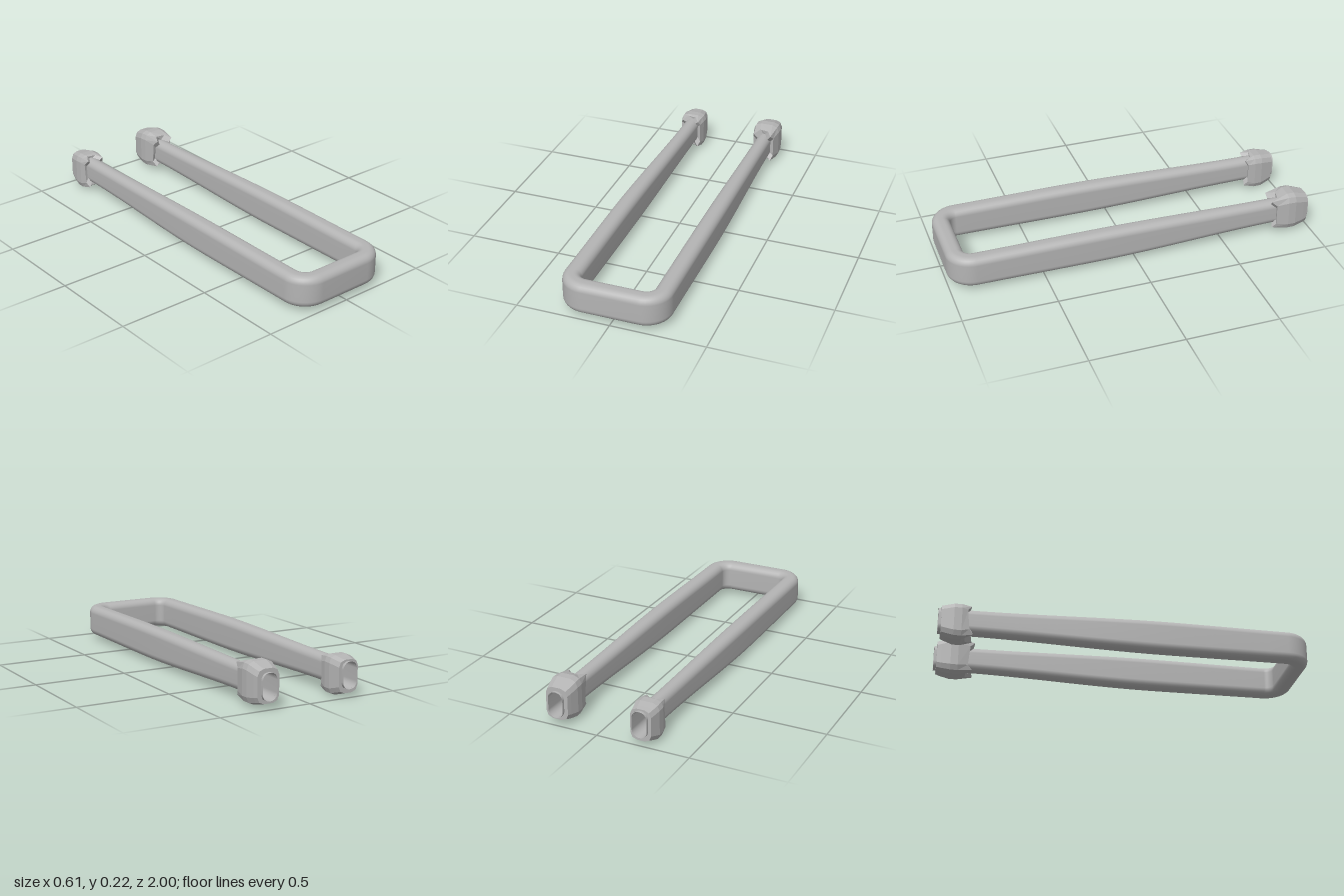
import * as THREE from 'three';

const grey = new THREE.MeshStandardMaterial({ color: 0xb4b4b4, side: THREE.DoubleSide });
grey.name = 'grey';

// Skin a list of equally long closed rings of points
function loft(rings, flat) {
  const n = rings[0].length, index = [];
  for (let i = 0; i < rings.length - 1; i++) {
    for (let j = 0; j < n; j++) {
      const a = i * n + j, b = i * n + (j + 1) % n;
      index.push(a, b, a + n, b, b + n, a + n);
    }
  }
  let geo = new THREE.BufferGeometry().setFromPoints(rings.flat());
  geo.setIndex(index);
  if (flat) geo = geo.toNonIndexed();
  geo.computeVertexNormals();
  return geo;
}

// Rounded rectangle outline, counter-clockwise; two steps per corner make a chamfer
function section(w, h, r, steps) {
  const pts = [];
  for (let c = 0; c < 4; c++) {
    const sx = c === 0 || c === 3 ? 1 : -1, sy = c < 2 ? 1 : -1;
    for (let k = 0; k < steps; k++) {
      const a = (c + k / (steps - 1)) * Math.PI / 2;
      pts.push([sx * (w / 2 - r) + r * Math.cos(a), sy * (h / 2 - r) + r * Math.sin(a)]);
    }
  }
  return pts;
}

// U-shaped bar that gets slimmer towards its open back ends
function makeBar() {
  const stations = [];
  const bend = 0.09, front = 0.948;
  const legX = (side, z) => {
    const t = THREE.MathUtils.smoothstep(-z, -0.3, 0.9);
    return side < 0 ? -0.247 + 0.012 * t : 0.233 - 0.005 * t;
  };
  const zs = [];
  for (let i = 0; i <= 18; i++) zs.push(-1 + (front - bend + 1) * i / 18);
  zs.forEach((z) => stations.push([legX(-1, z), z, 0]));
  for (const side of [-1, 1]) {
    const cx = legX(side, 0.9) - side * bend;
    for (let k = 1; k <= 10; k++) {
      const a = (side < 0 ? 0 : Math.PI / 2) + k / 10 * Math.PI / 2;
      stations.push([cx - bend * Math.cos(a), front - bend + bend * Math.sin(a), a]);
    }
    if (side < 0) stations.push([legX(1, 0.9) - bend, front, Math.PI / 2]);
  }
  zs.reverse().slice(1).forEach((z) => stations.push([legX(1, z), z, Math.PI]));

  return loft(stations.map(([x, z, a]) => {
    const t = THREE.MathUtils.smoothstep(-z, -0.2, 0.85);
    const f = THREE.MathUtils.smoothstep(z, 0.2, 0.9);
    const top = 0.196 - 0.014 * t - 0.004 * f, bottom = 0.019 + 0.024 * t + 0.003 * f;
    return section(0.096 - 0.015 * t, top - bottom, 0.038, 7).map(([s, y]) =>
      new THREE.Vector3(x + s * Math.cos(a), (top + bottom) / 2 + y, z - s * Math.sin(a)));
  }));
}

// Faceted cuff; rows are [z, width, height, centre y, chamfer], jag shifts the front rim
function makeCuff(x, rows, jag) {
  return loft(rows.map(([z, w, h, y, r], i) => section(w, h, r, 3).map(([px, py], j) =>
    new THREE.Vector3(x + px, y + py, z + (i >= rows.length - 2 ? jag[j] : 0)))), true);
}

export function createModel() {
  const group = new THREE.Group();
  const add = (name, geo) => {
    const mesh = new THREE.Mesh(geo, grey);
    mesh.name = name;
    group.add(mesh);
  };
  add('bar', makeBar());

  add('rightCuff', makeCuff(-0.235, [
    [-0.985, 0.082, 0.14, 0.112, 0.035],
    [-0.985, 0.112, 0.168, 0.106, 0.035],
    [-0.96, 0.122, 0.18, 0.104, 0.035],
    [-0.92, 0.138, 0.2, 0.102, 0.036],
    [-0.88, 0.136, 0.202, 0.102, 0.036],
    [-0.84, 0.118, 0.18, 0.106, 0.035],
    [-0.845, 0.084, 0.142, 0.112, 0.035],
  ], [0, 0.015, -0.02, -0.03, 0.01, -0.01, 0, 0.02, -0.02, -0.015, 0.02, 0]));

  add('leftCuff', makeCuff(0.228, [
    [-0.985, 0.082, 0.14, 0.112, 0.035],
    [-0.985, 0.122, 0.172, 0.115, 0.036],
    [-0.96, 0.134, 0.186, 0.115, 0.037],
    [-0.91, 0.152, 0.212, 0.118, 0.04],
    [-0.87, 0.15, 0.214, 0.118, 0.04],
    [-0.805, 0.122, 0.184, 0.116, 0.036],
    [-0.81, 0.085, 0.143, 0.112, 0.035],
  ], [0, 0.03, -0.01, -0.02, 0.025, 0, -0.01, 0.015, -0.02, -0.02, 0.02, 0]));

  return group;
}
